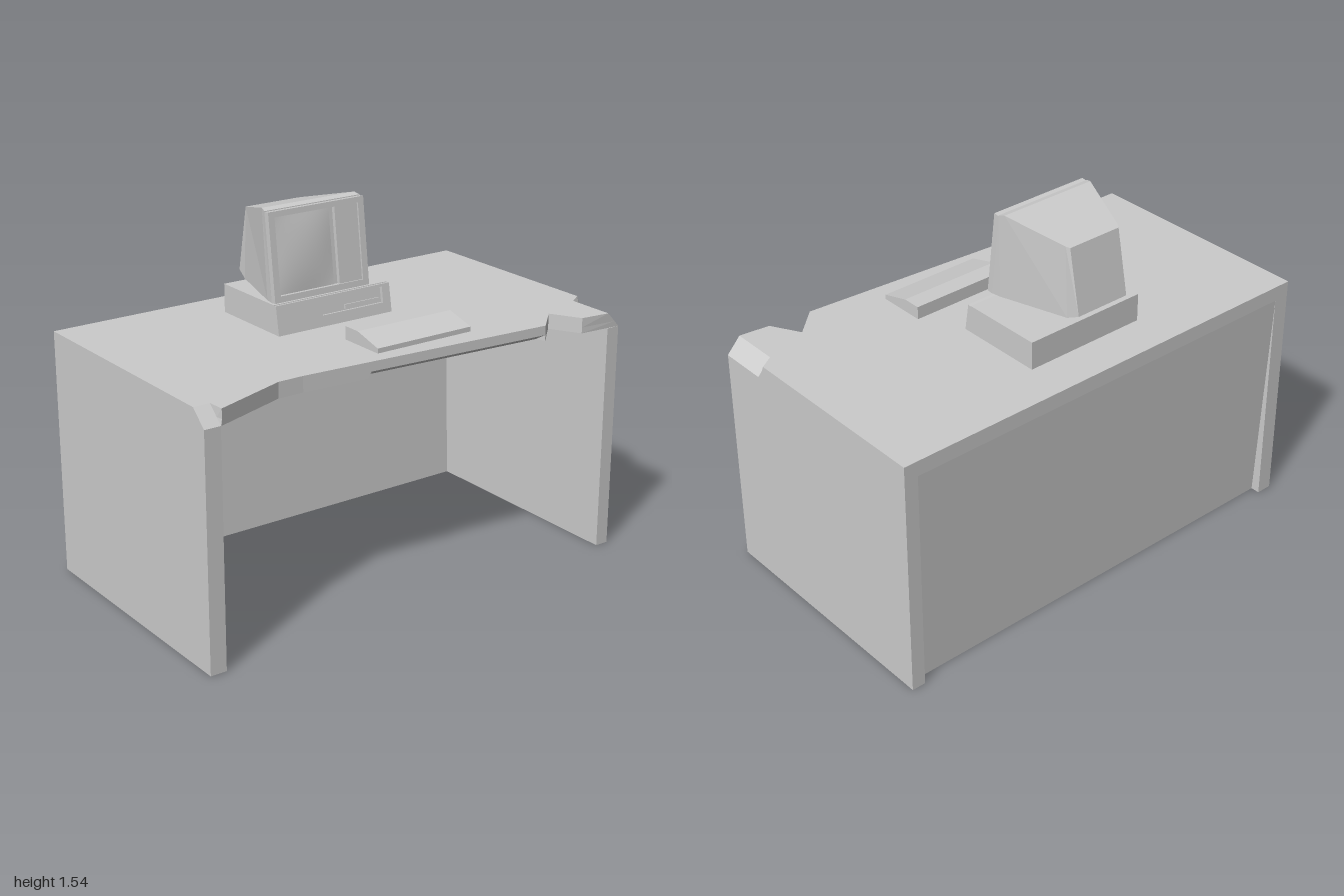
import * as THREE from 'three';

const grey = new THREE.MeshStandardMaterial({ color: 0xcccccc });
const flat = new THREE.MeshStandardMaterial({ color: 0xcccccc, flatShading: true });

function add(parent, name, geometry, material = flat) {
  const mesh = new THREE.Mesh(geometry, material);
  mesh.name = name;
  parent.add(mesh);
  return mesh;
}

function box(parent, name, [x0, x1], [y0, y1], [z0, z1]) {
  const mesh = add(parent, name, new THREE.BoxGeometry(x1 - x0, y1 - y0, z1 - z0));
  mesh.position.set((x0 + x1) / 2, (y0 + y1) / 2, (z0 + z1) / 2);
  return mesh;
}

// Closed faceted solid through rings of equal point count; rings run
// counter-clockwise as seen from the last ring's side.
function loft(rings) {
  const pos = [];
  const tri = (a, b, c) => pos.push(...a, ...b, ...c);
  const n = rings[0].length;
  for (let r = 0; r < rings.length - 1; r++) {
    for (let i = 0; i < n; i++) {
      const j = (i + 1) % n;
      const a = rings[r][i], b = rings[r][j], c = rings[r + 1][j], d = rings[r + 1][i];
      tri(a, b, c);
      tri(a, c, d);
    }
  }
  const cap = (ring, flip) => {
    const normal = new THREE.Vector3();
    const v = ring.map((p) => new THREE.Vector3(...p));
    v.forEach((p, i) => normal.add(p.clone().cross(v[(i + 1) % n])));
    const size = normal.toArray().map(Math.abs);
    const drop = size.indexOf(Math.max(...size));
    const keep = [0, 1, 2].filter((k) => k !== drop);
    const flat2 = ring.map((p) => new THREE.Vector2(p[keep[0]], p[keep[1]]));
    for (const [a, b, c] of THREE.ShapeUtils.triangulateShape(flat2, [])) {
      const face = v[b].clone().sub(v[a]).cross(v[c].clone().sub(v[a]));
      if (face.dot(normal) > 0 !== flip) tri(ring[a], ring[b], ring[c]);
      else tri(ring[a], ring[c], ring[b]);
    }
  };
  cap(rings[0], true);
  cap(rings[rings.length - 1], false);
  const g = new THREE.BufferGeometry();
  g.setAttribute('position', new THREE.Float32BufferAttribute(pos, 3));
  g.computeVertexNormals();
  return g;
}

// Prism of an xy profile (counter-clockwise) between two z values
const prism = (profile, z0, z1) =>
  loft([z0, z1].map((z) => profile.map(([x, y]) => [x, y, z])));

// Rectangular section facing +x: bottom point, top point, half width
const section = ([bx, by], [tx, ty], h, z) =>
  [[bx, by, z + h], [bx, by, z - h], [tx, ty, z - h], [tx, ty, z + h]];

// Leaning front plate with a rectangular opening; its local +z points out of the front
function frontPlate(parent, name, [x, y, z], lean, w, h, depth, [u0, u1, v0, v1]) {
  const tilt = new THREE.Group();
  tilt.name = name;
  tilt.position.set(x, y, z);
  tilt.rotation.z = lean;
  const face = new THREE.Group();
  face.name = name + 'Face';
  face.rotation.y = Math.PI / 2;
  tilt.add(face);
  parent.add(tilt);
  const rect = (Kind, a, b, c, d) =>
    new Kind([[a, c], [b, c], [b, d], [a, d]].map((p) => new THREE.Vector2(...p)));
  const shape = rect(THREE.Shape, -w / 2, w / 2, 0, h);
  shape.holes.push(rect(THREE.Path, u0, u1, v0, v1));
  const g = new THREE.ExtrudeGeometry(shape, { depth, bevelEnabled: false });
  add(face, name + 'Frame', g.translate(0, 0, -depth));
  return face;
}

function createDesk() {
  const desk = new THREE.Group();
  desk.name = 'desk';

  // Worktop: outline with chipped front edge, [x, z] at top and, where different, at bottom
  const outline = [
    [[0.49, 1], [0.56, 1]],
    [[0.49, 0.93], [0.56, 0.93]],
    [[0.56, 0.925]],
    [[0.45, 0.61]],
    [[0.45, 0.5]],
    [[0.47, 0.215]],
    [[0.471, 0.2], [0.431, 0.2]],
    [[0.529, -0.61], [0.489, -0.61]],
    [[0.53, -0.625]],
    [[0.42, -0.74]],
    [[0.545, -0.81]],
    [[0.56, -0.94], [0.56, -1]],
    [[0.35, -0.94], [0.35, -1]],
    [[0.31, -1], [0.34, -1]],
    [[-0.56, -1]],
    [[-0.56, 1]],
  ];
  const yBottom = 0.975, yMid = 1.0, yTop = 1.04;
  const t = (yMid - yBottom) / (yTop - yBottom);
  const bottom = outline.map(([a, b = a]) => [b[0], yBottom, b[1]]);
  const top = outline.map(([a]) => [a[0], yTop, a[1]]);
  const mid = outline.map(([a, b = a], i) => {
    // the underside bevel only reaches up to the middle ring
    if (i === 6 || i === 7) return [a[0], yMid, a[1]];
    return [b[0] + (a[0] - b[0]) * t, yMid, b[1] + (a[1] - b[1]) * t];
  });
  add(desk, 'worktop', loft([bottom, mid, top]));

  // End panels and the slightly slanted back panel
  box(desk, 'leftPanel', [-0.56, 0.56], [0, yBottom], [0.93, 1]);
  box(desk, 'rightPanel', [-0.56, 0.56], [0, yBottom], [-1, -0.94]);
  const back = [[-0.56, yBottom], [-0.52, 0], [-0.45, 0], [-0.49, yBottom]];
  add(desk, 'backPanel', prism(back, -0.94, 0.93));
  return desk;
}

function createMonitor() {
  const monitor = new THREE.Group();
  monitor.name = 'monitor';
  const z = 0.1;
  add(monitor, 'monitorCasing', loft([
    section([-0.4, 1.2], [-0.345, 1.475], 0.125, z),
    section([-0.345, 1.175], [-0.33, 1.479], 0.135, z),
    section([-0.05, 1.173], [-0.08, 1.54], 0.222, z),
    section([-0.01, 1.173], [-0.053, 1.533], 0.228, z),
  ]));
  const face = frontPlate(monitor, 'monitorFront', [0.015, 1.175, z], 0.12,
    0.456, 0.36, 0.025, [-0.2, 0.2, 0.025, 0.337]);

  // Bulging screen
  const screen = new THREE.PlaneGeometry(0.27, 0.312, 10, 10);
  const p = screen.attributes.position;
  for (let i = 0; i < p.count; i++) {
    const u = p.getX(i) / 0.135, v = p.getY(i) / 0.156;
    p.setZ(i, 0.012 * (1 - u * u) * (1 - v * v));
  }
  screen.computeVertexNormals();
  add(face, 'screen', screen, grey).position.set(-0.065, 0.181, -0.02);
  box(face, 'controlPanel', [0.09, 0.2], [0.025, 0.337], [-0.025, -0.008]);
  return monitor;
}

function createComputer() {
  const computer = new THREE.Group();
  computer.name = 'computer';
  const z = 0.038, h = 0.278;
  add(computer, 'computerCase', loft([
    section([-0.375, 1.04], [-0.375, 1.16], h, z),
    section([0.005, 1.04], [-0.015, 1.16], h, z),
  ]));
  const face = frontPlate(computer, 'computerFront', [0.02, 1.04, z], 0.165,
    2 * h, 0.121, 0.015, [-0.06, 0.24, 0.045, 0.11]);
  // Drive lip inside the opening
  box(face, 'driveSlot', [0.055, 0.225], [0.05, 0.068], [-0.015, -0.006]);
  return computer;
}

export function createModel() {
  const model = new THREE.Group();
  model.name = 'computerDesk';
  model.add(createDesk(), createComputer(), createMonitor());
  // Wedge-shaped keyboard
  const keys = [[0.2, 1.04], [0.41, 1.04], [0.41, 1.06], [0.28, 1.095], [0.2, 1.095]];
  add(model, 'keyboard', prism(keys, -0.335, 0.125));
  return model;
}
